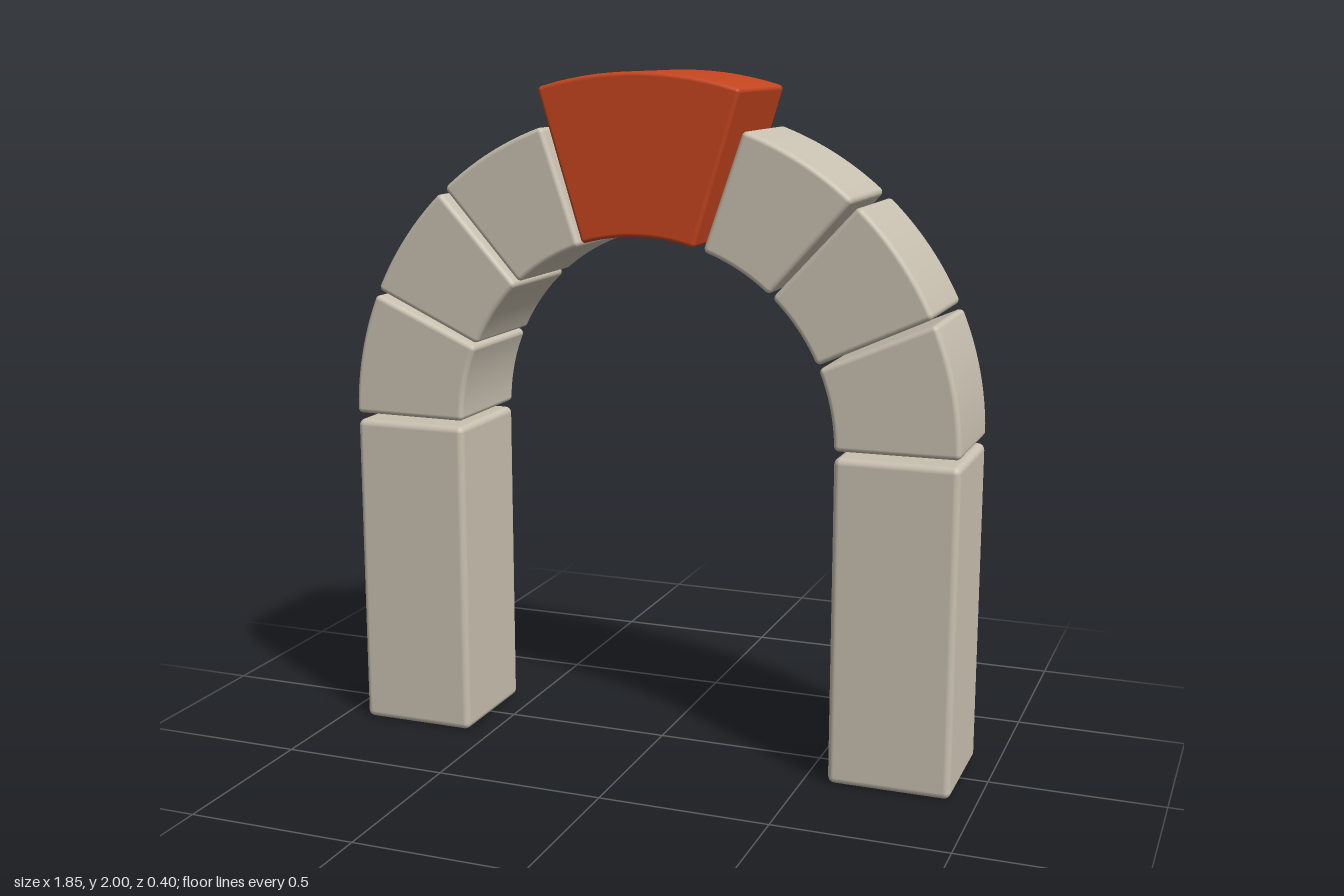
import * as THREE from 'three';
import { RoundedBoxGeometry } from 'three/addons/geometries/RoundedBoxGeometry.js';

const CENTRE_Y = 0.97;

// Arch block between two angles (degrees) and two radii, all edges rounded by b.
function wedgeGeometry(deg0, deg1, r0, r1, depth, b) {
  const k = 3, n = [2 * k + 14, 2 * k + 1, 2 * k + 1];
  const a0 = THREE.MathUtils.degToRad(deg0), a1 = THREE.MathUtils.degToRad(deg1);
  const geo = new THREE.BoxGeometry(1, 1, 1, ...n);
  const pos = geo.attributes.position, nor = geo.attributes.normal;
  const dir = new THREE.Vector3();
  for (let v = 0; v < pos.count; v++) {
    // t: place within the inner core, o: direction across the rounded rim
    const t = [], o = [];
    for (let c = 0; c < 3; c++) {
      const i = Math.round((pos.getComponent(v, c) + 0.5) * n[c]);
      t[c] = THREE.MathUtils.clamp((i - k) / (n[c] - 2 * k), 0, 1);
      const rim = i < k ? (i - k) / k : i > n[c] - k ? (i - n[c] + k) / k : 0;
      o[c] = Math.tan(rim * Math.PI / 4);
    }
    const r = THREE.MathUtils.lerp(r0 + b, r1 - b, t[1]);
    const inset = Math.asin(b / r);
    const a = THREE.MathUtils.lerp(a1 - inset, a0 + inset, t[0]);
    const z = (t[2] - 0.5) * (depth - 2 * b);
    const s = Math.sin(a), q = Math.cos(a);
    dir.set(o[0] * s + o[1] * q, -o[0] * q + o[1] * s, o[2]).normalize();
    pos.setXYZ(v, r * q + dir.x * b, CENTRE_Y + r * s + dir.y * b, z + dir.z * b);
    nor.setXYZ(v, dir.x, dir.y, dir.z);
  }
  return geo;
}

export function createModel() {
  const model = new THREE.Group();
  model.name = 'stoneArch';
  const stone = new THREE.MeshStandardMaterial({ color: 0xc8c0b0 });
  stone.name = 'paleStone';
  const red = new THREE.MeshStandardMaterial({ color: 0xc5451f });
  red.name = 'redStone';

  const add = (name, geometry, material) => {
    const mesh = new THREE.Mesh(geometry, material);
    mesh.name = name;
    model.add(mesh);
    return mesh;
  };

  // Pillars and the three curved blocks above each
  const blocks = [[0.3, 23.7], [24.7, 47.3], [48.5, 71.1]];
  for (const [side, sign] of [['left', 1], ['right', -1]]) {
    const pillar = add(side + 'Pillar', new RoundedBoxGeometry(0.355, 0.955, 0.355, 3, 0.02), stone);
    pillar.position.set(sign * 0.7475, 0.4775, 0);
    blocks.forEach(([from, to], i) => {
      const [d0, d1] = sign > 0 ? [from, to] : [180 - to, 180 - from];
      add(side + 'ArchBlock' + (i + 1), wedgeGeometry(d0, d1, 0.57, 0.925, 0.355, 0.015), stone);
    });
  }

  // Larger keystone at the crown
  add('keystone', wedgeGeometry(73, 107, 0.575, 1.03, 0.404, 0.012), red);
  return model;
}
